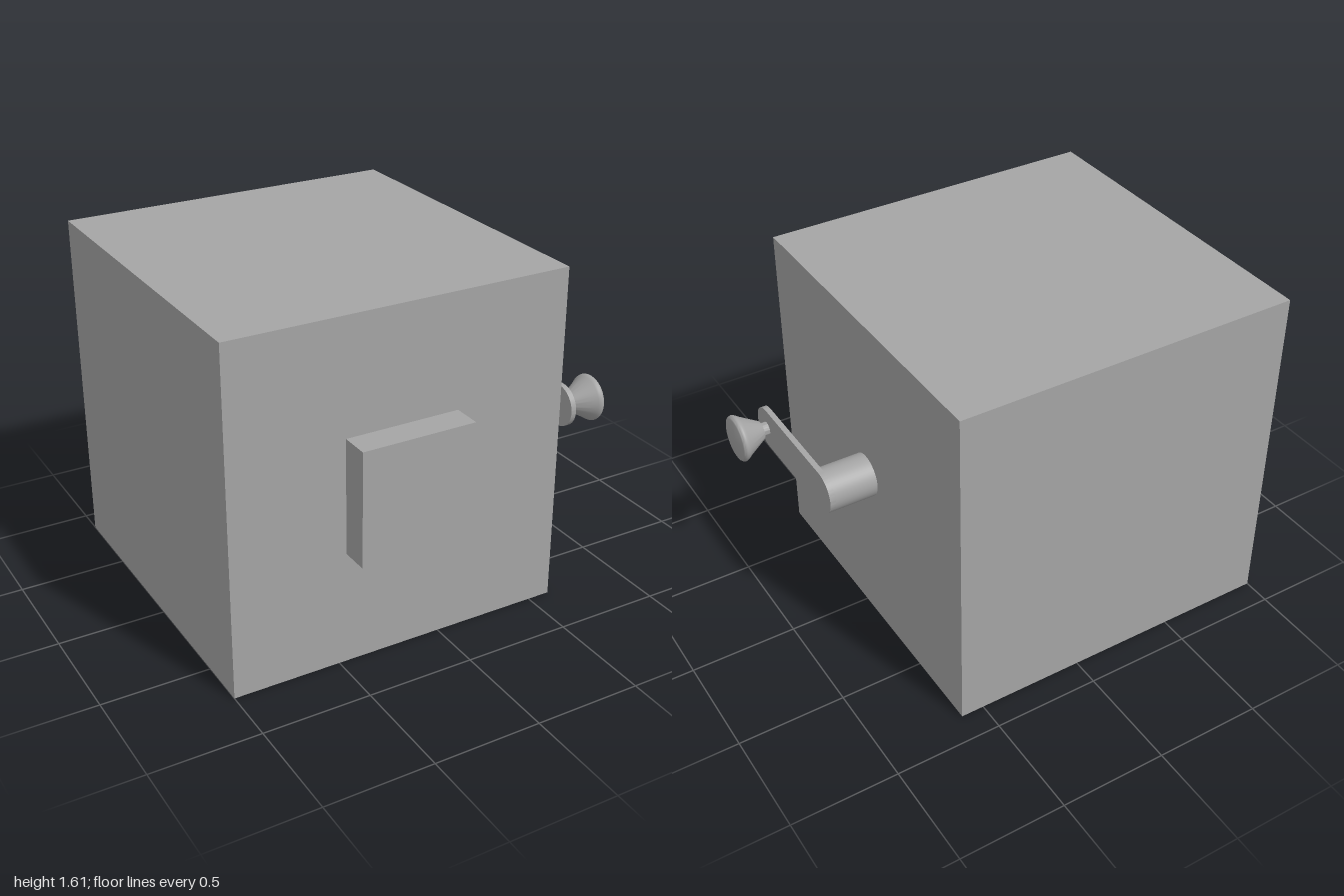
import * as THREE from 'three';
import { toCreasedNormals } from 'three/addons/utils/BufferGeometryUtils.js';

const material = new THREE.MeshStandardMaterial({ color: 0xa5a5a5 });

function part(name, geometry, x, y, z) {
  const mesh = new THREE.Mesh(geometry, material);
  mesh.name = name;
  mesh.position.set(x, y, z);
  return mesh;
}

export function createModel() {
  const group = new THREE.Group();
  group.name = 'crankBox';
  const size = 1.608, midY = 0.806;
  const boxX = -0.196, boxZ = -0.066, sideX = 0.608;

  // Cube body and square plate on the front
  group.add(part('body', new THREE.BoxGeometry(size, size, size), boxX, size / 2, boxZ));
  group.add(part('frontPlate', new THREE.BoxGeometry(0.536, 0.536, 0.134), boxX, midY, 0.805));

  // Crank on the side, turning about x
  const crank = new THREE.Group();
  crank.name = 'crank';
  crank.position.set(sideX, midY, boxZ);
  group.add(crank);

  const radius = 0.101, reach = 0.535, armStart = 0.204, armThickness = 0.026;

  const axle = part('axle', new THREE.CylinderGeometry(radius, radius, armStart, 48), armStart / 2, 0, 0);
  axle.rotation.z = -Math.PI / 2;
  crank.add(axle);

  // Flat arm with round ends
  const outline = new THREE.Shape();
  outline.absarc(0, 0, radius, -Math.PI / 2, Math.PI / 2, false);
  outline.absarc(-reach, 0, radius, Math.PI / 2, Math.PI * 1.5, false);
  outline.closePath();
  const armGeometry = new THREE.ExtrudeGeometry(outline, {
    depth: armThickness, bevelEnabled: false, curveSegments: 24,
  });
  const arm = part('arm', toCreasedNormals(armGeometry, 0.6), armStart, 0, 0);
  arm.rotation.y = Math.PI / 2;
  crank.add(arm);

  // Flared knob with a thin neck and a rounded rim
  const profile = [
    [0, 0], [0.032, 0], [0.032, 0.03], [0.043, 0.03], [0.047, 0.035],
    [0.096, 0.118], [0.104, 0.128], [0.109, 0.137], [0.111, 0.145],
    [0.109, 0.153], [0.104, 0.159], [0.097, 0.162], [0, 0.162],
  ].map(([r, h]) => new THREE.Vector2(r, h));
  const knob = part('knob', toCreasedNormals(new THREE.LatheGeometry(profile, 48), 0.75),
    armStart + armThickness, 0, reach);
  knob.rotation.z = -Math.PI / 2;
  crank.add(knob);

  return group;
}
